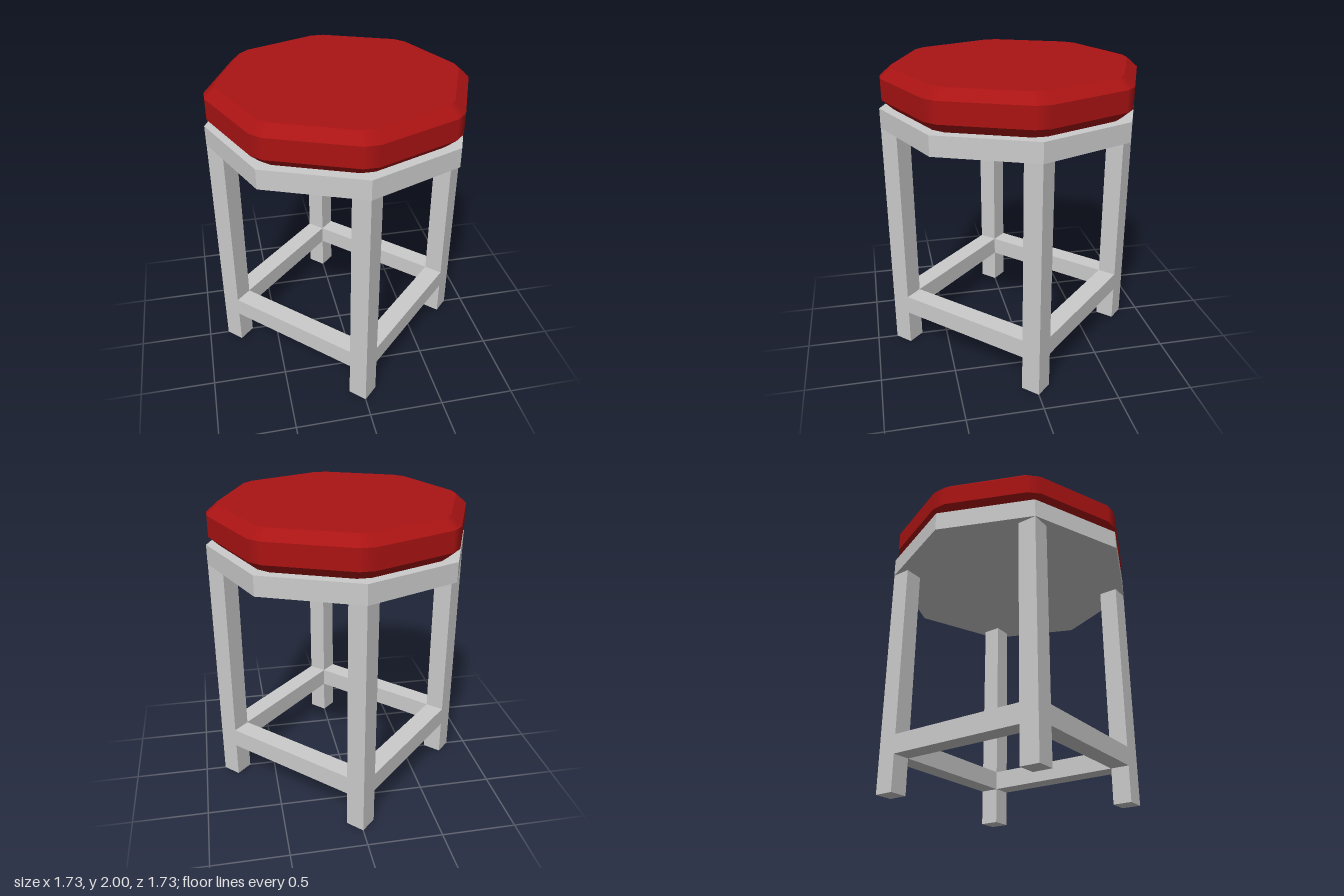
import * as THREE from 'three';

const grey = new THREE.MeshStandardMaterial({ color: 0xcccccc, flatShading: true });
const red = new THREE.MeshStandardMaterial({ color: 0xaa1313 });

function part(name, geometry, material = grey) {
  const mesh = new THREE.Mesh(geometry, material);
  mesh.name = name;
  return mesh;
}

// Octagonal cushion: flat sides, softened corners, chamfered top and bottom
function cushionGeometry() {
  const rings = [[0.915, 1.735], [1, 1.8], [1, 1.937], [0.915, 2]];
  const apothem = 0.8, half = 0.28;
  const outline = [];
  for (let k = 0; k < 8; k++) {
    const a = Math.PI / 8 + (k * Math.PI) / 4;
    const nx = Math.sin(a), nz = Math.cos(a);
    for (const s of [-half, half]) {
      outline.push({ x: nx * apothem + nz * s, z: nz * apothem - nx * s, nx, nz });
    }
  }
  const n = outline.length, pos = [], nor = [], idx = [];

  // Side bands, each with its own normals so the chamfer edges stay sharp
  for (let b = 0; b < rings.length - 1; b++) {
    const [s0, y0] = rings[b], [s1, y1] = rings[b + 1];
    const slope = new THREE.Vector2(y1 - y0, (s0 - s1) * apothem).normalize();
    const base = pos.length / 3;
    for (const p of outline) {
      pos.push(p.x * s0, y0, p.z * s0, p.x * s1, y1, p.z * s1);
      for (let i = 0; i < 2; i++) nor.push(p.nx * slope.x, slope.y, p.nz * slope.x);
    }
    for (let i = 0; i < n; i++) {
      const p = base + 2 * i, q = base + 2 * ((i + 1) % n);
      idx.push(p, q, q + 1, p, q + 1, p + 1);
    }
  }

  // Top and bottom caps
  for (const [ring, up] of [[rings[3], 1], [rings[0], -1]]) {
    const base = pos.length / 3;
    for (const p of outline) {
      pos.push(p.x * ring[0], ring[1], p.z * ring[0]);
      nor.push(0, up, 0);
    }
    for (let i = 1; i < n - 1; i++) {
      if (up > 0) idx.push(base, base + i, base + i + 1);
      else idx.push(base, base + i + 1, base + i);
    }
  }

  const g = new THREE.BufferGeometry();
  g.setAttribute('position', new THREE.Float32BufferAttribute(pos, 3));
  g.setAttribute('normal', new THREE.Float32BufferAttribute(nor, 3));
  g.setIndex(idx);
  return g;
}

export function createModel() {
  const stool = new THREE.Group();
  stool.name = 'stool';

  stool.add(part('cushion', cushionGeometry(), red));

  // Octagonal seat board
  const board = part('seatBoard', new THREE.CylinderGeometry(0.865, 0.865, 0.13, 8));
  board.position.y = 1.67;
  stool.add(board);

  // Four square legs joined by rails of the same thickness
  const thick = 0.13, legHeight = 1.605, spacing = 0.772 * Math.SQRT2;
  const frame = new THREE.Group();
  frame.name = 'legFrame';
  frame.rotation.y = Math.PI / 4;
  for (let i = 0; i < 4; i++) {
    const side = new THREE.Group();
    side.name = 'frameSide';
    side.rotation.y = (i * Math.PI) / 2;
    const leg = part('leg', new THREE.BoxGeometry(thick, legHeight, thick));
    leg.position.set(spacing / 2, legHeight / 2, spacing / 2);
    const rail = part('rail', new THREE.BoxGeometry(spacing - thick, 0.13, thick));
    rail.position.set(0, 0.31, spacing / 2);
    side.add(leg, rail);
    frame.add(side);
  }
  stool.add(frame);
  return stool;
}
